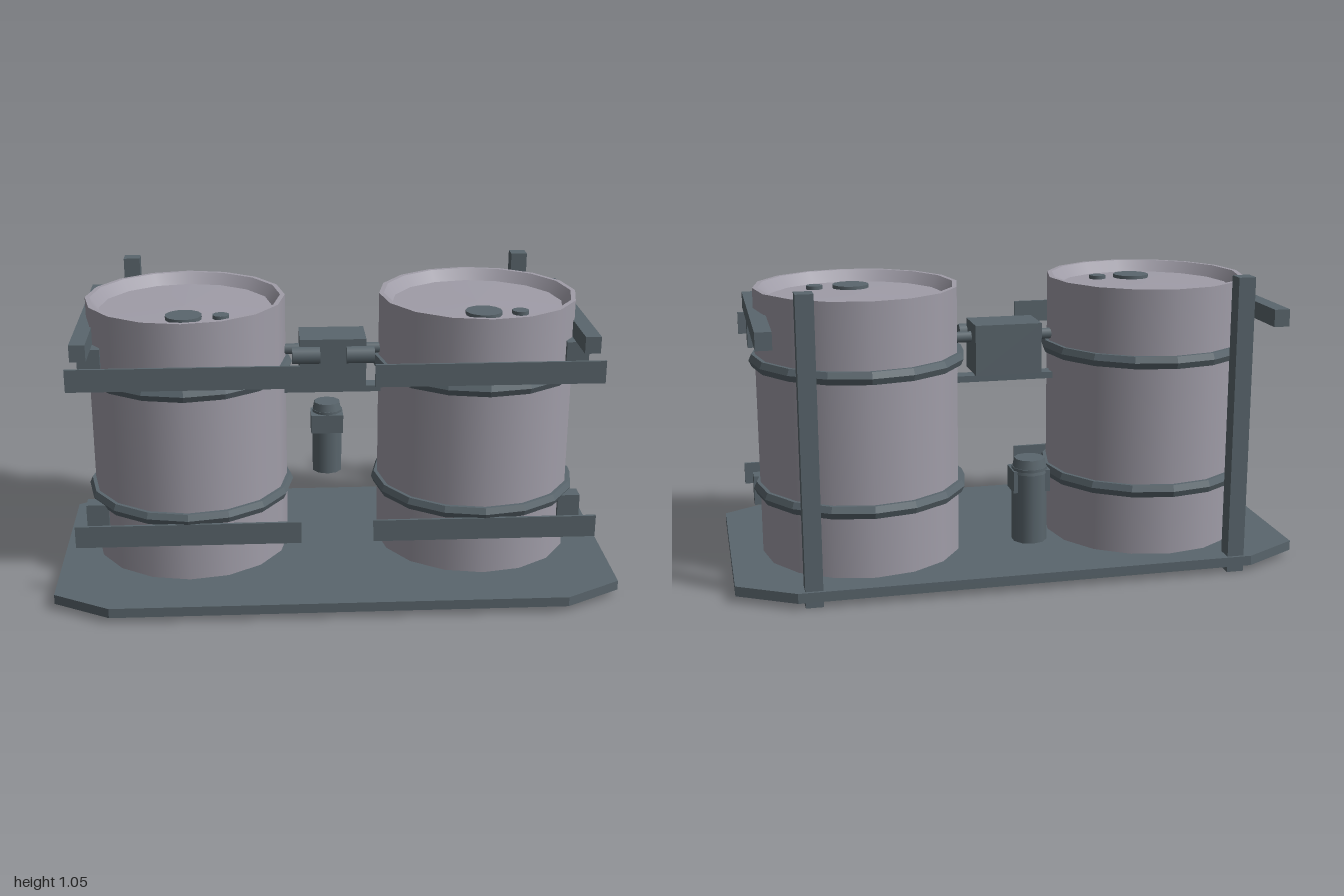
import * as THREE from 'three';

const steel = new THREE.MeshStandardMaterial({ color: 0x5a666d });
steel.name = 'slate steel';
const shell = new THREE.MeshStandardMaterial({ color: 0xa09da8 });
shell.name = 'drum grey';

export function createModel() {
  const model = new THREE.Group();
  model.name = 'twinDrumRack';

  const add = (parent, name, geometry, material, x = 0, y = 0, z = 0) => {
    const mesh = new THREE.Mesh(geometry, material);
    mesh.name = name;
    mesh.position.set(x, y, z);
    parent.add(mesh);
    return mesh;
  };
  // box given by its limits on each axis
  const box = (name, x0, x1, y0, y1, z0, z1) =>
    add(model, name, new THREE.BoxGeometry(x1 - x0, y1 - y0, z1 - z0), steel,
      (x0 + x1) / 2, (y0 + y1) / 2, (z0 + z1) / 2);
  const lathe = (points, sides) =>
    new THREE.LatheGeometry(points.map(([r, y]) => new THREE.Vector2(r, y)), sides);

  // base plate with cut corners
  const outline = new THREE.Shape([
    [-1, -0.39], [-0.8, -0.505], [0.8, -0.505], [1, -0.39],
    [1, 0.39], [0.8, 0.505], [-0.8, 0.505], [-1, 0.39],
  ].map(([x, y]) => new THREE.Vector2(x, y)));
  const plate = new THREE.ExtrudeGeometry(outline, { depth: 0.035, bevelEnabled: false });
  plate.rotateX(-Math.PI / 2);
  add(model, 'basePlate', plate, steel, 0, 0.023, 0);

  // two drums, each with a recessed lid, bungs and hoops
  for (const [name, x] of [['rightDrum', -0.527], ['leftDrum', 0.527]]) {
    const drum = new THREE.Group();
    drum.name = name;
    drum.position.set(x, 0, -0.06);
    model.add(drum);
    add(drum, 'drumWall', lathe([[0.357, 0.05], [0.357, 1.01]], 16), shell);
    add(drum, 'drumRim', lathe([[0.357, 1.01], [0.34, 1.01]], 16), shell);
    add(drum, 'rimInside', lathe([[0.34, 1.01], [0.31, 0.97]], 16), shell);
    add(drum, 'drumLid', lathe([[0.31, 0.97], [0, 0.975]], 16), shell);
    add(drum, 'largeBung', new THREE.CylinderGeometry(0.065, 0.065, 0.02, 14), steel, 0, 0.975, 0.16);
    add(drum, 'smallBung', new THREE.CylinderGeometry(0.03, 0.03, 0.02, 10), steel, 0.13, 0.975, 0.16);
    for (const y of [0.295, 0.757]) {
      const hoop = lathe([[0.352, -0.022], [0.37, -0.022], [0.38, 0], [0.37, 0.022], [0.352, 0.022]], 16)
        .toNonIndexed();
      hoop.computeVertexNormals();
      add(drum, 'hoop', hoop, steel, 0, y, 0);
    }
  }

  // posts, rails, straps and clamps, mirrored on both sides
  for (const s of [-1, 1]) {
    const side = (name, a, b, ...rest) =>
      box(name, Math.min(s * a, s * b), Math.max(s * a, s * b), ...rest);
    side('rearPost', 0.715, 0.775, 0, 1.055, -0.495, -0.435);
    side('sideRail', 0.85, 0.905, 0.88, 0.94, -0.495, 0.29);
    for (const y of [0.2, 0.78]) side('frontStrap', 0.128, 0.923, y, y + 0.08, 0.303, 0.313);
    for (const y of [0.182, 0.77]) side('sideClamp', 0.82, 0.9, y, y + 0.108, 0.09, 0.15);

    // pipe stub on the control box
    const stub = add(model, 'pipeStub', new THREE.CylinderGeometry(0.032, 0.032, 0.1, 8), steel,
      s * 0.098, 0.805, 0.025);
    stub.rotation.z = Math.PI / 2;
    const link = add(model, 'boxBracket', new THREE.CylinderGeometry(0.02, 0.02, 0.08, 8), steel,
      s * 0.15, 0.805, -0.06);
    link.rotation.z = Math.PI / 2;
  }

  // control box between the drums
  box('controlBox', -0.12, 0.12, 0.68, 0.86, -0.145, 0.015);
  box('crossBar', -0.19, 0.19, 0.645, 0.668, -0.09, -0.03);

  // small canister at the back with its clamp
  add(model, 'canister', new THREE.CylinderGeometry(0.06, 0.06, 0.26, 10), steel, 0, 0.3, -0.448);
  box('canisterHead', -0.065, 0.062, 0.345, 0.42, -0.48, -0.385);
  add(model, 'canisterCap', new THREE.CylinderGeometry(0.052, 0.062, 0.05, 10), steel, 0, 0.435, -0.448);

  return model;
}
